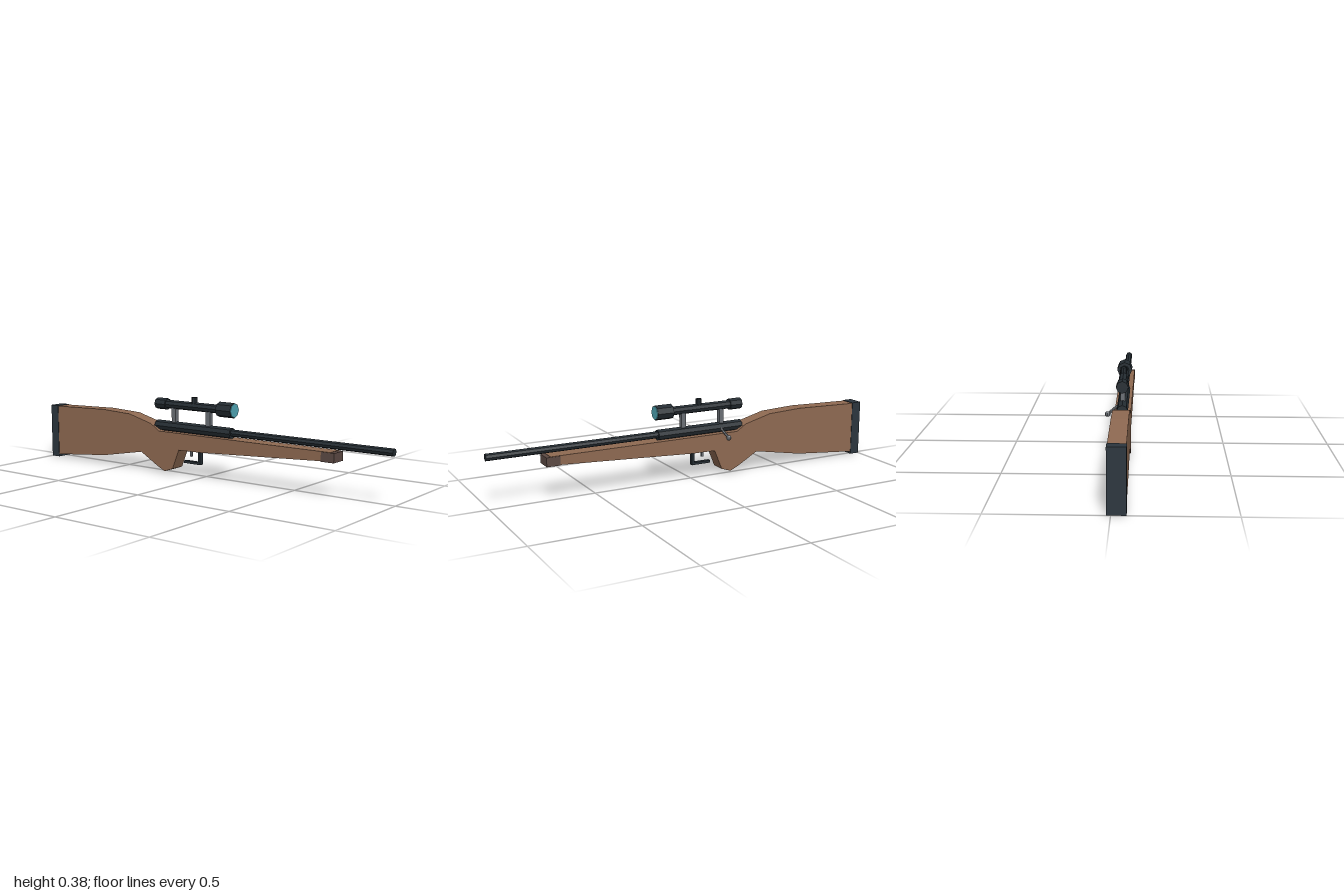
import * as THREE from 'three';

const CX = -0.022; // centre line of the body

function material(name, color) {
  const m = new THREE.MeshStandardMaterial({ color });
  m.name = name;
  return m;
}

export function createModel() {
  const group = new THREE.Group();
  const wood = material('wood', 0x8f6a52);
  const darkWood = material('darkWood', 0x5c4a44);
  const black = material('blackMetal', 0x252d33);
  const rubber = material('rubber', 0x2c363e);
  const steel = material('steel', 0x6b7076);
  const glass = material('glass', 0x52a9b8);

  // Faceted mesh from any geometry
  function add(name, geometry, mat) {
    const flat = geometry.index ? geometry.toNonIndexed() : geometry;
    flat.computeVertexNormals();
    const mesh = new THREE.Mesh(flat, mat);
    mesh.name = name;
    group.add(mesh);
    return mesh;
  }
  // Eight-sided rod lying along z
  function rod(name, z0, z1, y, r, mat) {
    const g = new THREE.CylinderGeometry(r, r, z1 - z0, 8);
    g.rotateX(Math.PI / 2).translate(CX, y, (z0 + z1) / 2);
    return add(name, g, mat);
  }
  // Block on the centre line
  function block(name, width, y0, y1, z0, z1, mat) {
    const g = new THREE.BoxGeometry(width, y1 - y0, z1 - z0);
    g.translate(CX, (y0 + y1) / 2, (z0 + z1) / 2);
    return add(name, g, mat);
  }

  // Stock: side outline as [z, y], extruded across x
  const outline = [
    [0.715, 0.206], [0.715, 0.162], [0.67, 0.163], [0, 0.126], [-0.125, 0.124],
    [-0.165, 0.027], [-0.215, 0.01], [-0.26, 0.031], [-0.365, 0.09],
    [-0.62, 0.044], [-0.96, 0.012], [-0.96, 0.272], [-0.62, 0.282],
    [-0.44, 0.274], [-0.3, 0.238], [-0.25, 0.206],
  ];
  const shape = new THREE.Shape(outline.map(([z, y]) => new THREE.Vector2(z, y)));
  const stock = new THREE.ExtrudeGeometry(shape, { depth: 0.075, bevelEnabled: false });
  stock.rotateY(-Math.PI / 2).translate(CX + 0.0375, 0, 0);
  add('stock', stock, wood);
  block('foreTip', 0.079, 0.161, 0.204, 0.67, 0.735, darkWood);
  block('buttPad', 0.079, 0, 0.275, -1, -0.95, rubber);

  // Barrel and receiver
  rod('barrel', 0.1, 1, 0.232, 0.017, black);
  rod('receiver', -0.287, 0.168, 0.23, 0.026, black);

  // Scope
  const sy = 0.338;
  rod('scopeTube', -0.23, 0.1, sy, 0.021, black);
  rod('scopeFrontBell', 0.094, 0.178, sy, 0.036, black);
  rod('scopeEyepiece', -0.285, -0.222, sy, 0.028, black);
  rod('scopeLens', 0.176, 0.181, sy, 0.033, glass);
  const turret = new THREE.CylinderGeometry(0.015, 0.015, 0.04, 8);
  add('scopeTurret', turret.translate(CX, 0.363, -0.056), black);
  for (const z of [0.032, -0.177]) {
    block('scopeMount', 0.022, 0.245, 0.325, z - 0.012, z + 0.012, steel);
  }

  // Trigger and guard
  block('guardPost', 0.021, 0.06, 0.13, -0.027, -0.014, black);
  block('guardBar', 0.021, 0.059, 0.071, -0.115, -0.014, black);
  block('trigger', 0.009, 0.093, 0.13, -0.08, -0.07, steel);

  // Bolt handle with knob
  const from = new THREE.Vector3(-0.012, 0.236, -0.165);
  const to = new THREE.Vector3(0.048, 0.189, -0.184);
  const axis = to.clone().sub(from);
  const handle = new THREE.CylinderGeometry(0.0065, 0.0065, axis.length(), 8);
  const turn = new THREE.Quaternion().setFromUnitVectors(
    new THREE.Vector3(0, 1, 0), axis.normalize());
  handle.applyQuaternion(turn);
  handle.translate((from.x + to.x) / 2, (from.y + to.y) / 2, (from.z + to.z) / 2);
  add('boltHandle', handle, steel);
  const knob = new THREE.SphereGeometry(0.013, 8, 6);
  add('boltKnob', knob.translate(to.x, to.y, to.z), steel);

  return group;
}
